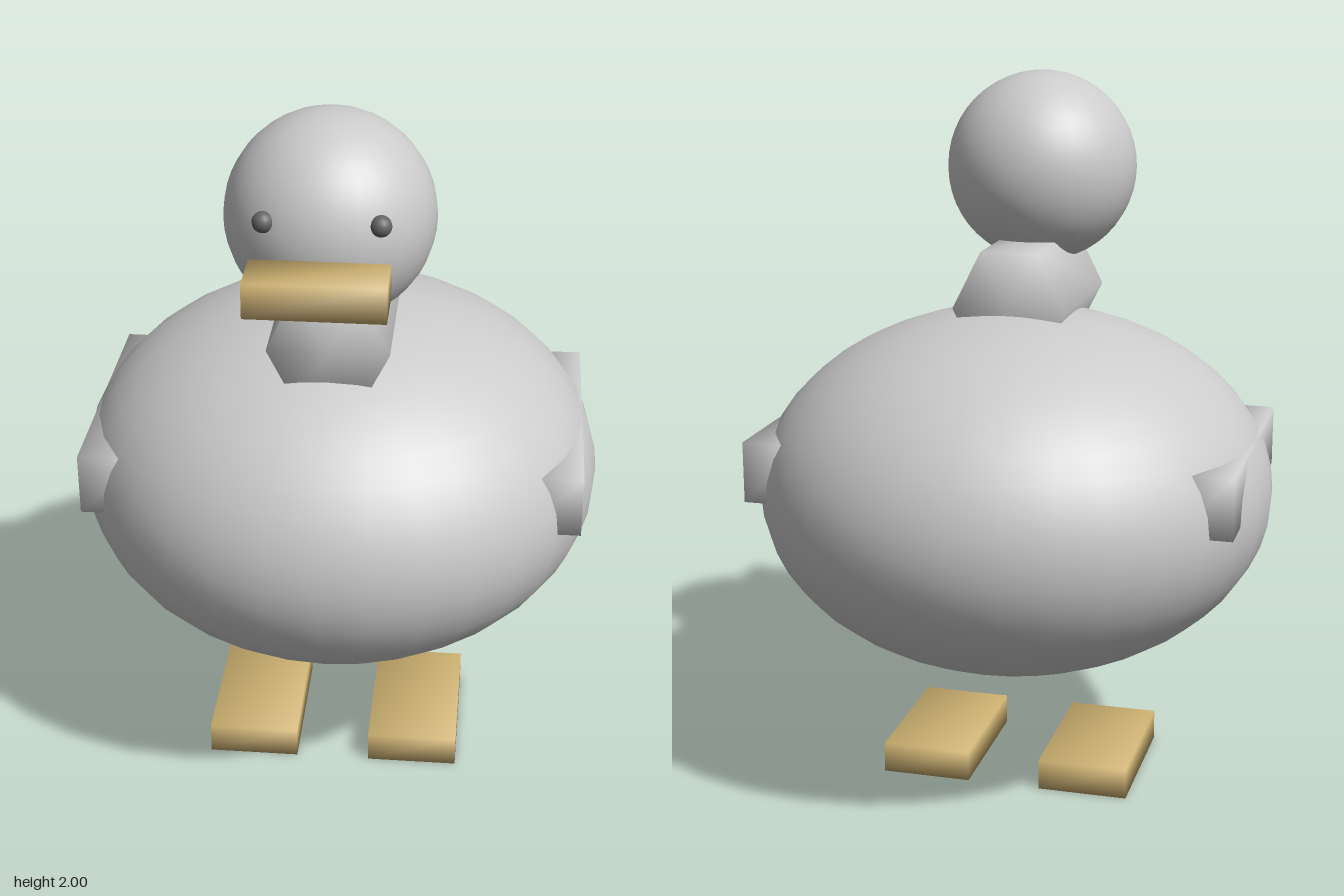
import * as THREE from 'three';
import { mergeVertices } from 'three/addons/utils/BufferGeometryUtils.js';

const grey = new THREE.MeshStandardMaterial({ color: 0xcccccc });
const gold = new THREE.MeshStandardMaterial({ color: 0xccb070 });
const dark = new THREE.MeshStandardMaterial({ color: 0x666666 });

// Weld corners so the shading runs softly over the edges
function soften(geometry) {
  geometry.deleteAttribute('normal');
  geometry.deleteAttribute('uv');
  const welded = mergeVertices(geometry);
  welded.computeVertexNormals();
  return welded;
}

function softBox(w, h, d) {
  return soften(new THREE.BoxGeometry(w, h, d));
}

export function createModel() {
  const model = new THREE.Group();

  function add(name, geometry, material, x, y, z) {
    const mesh = new THREE.Mesh(geometry, material);
    mesh.name = name;
    mesh.position.set(x, y, z);
    model.add(mesh);
    return mesh;
  }

  // Flattened round body
  const body = add('body', new THREE.SphereGeometry(0.722, 32, 24), grey, 0, 0.863, 0);
  body.scale.y = 0.703;

  // Six-sided neck lying along z
  const neck = new THREE.CylinderGeometry(0.16, 0.16, 0.465, 6, 1, false, Math.PI / 2);
  neck.rotateX(Math.PI / 2);
  neck.scale(1, 1.155, 1);
  add('neck', soften(neck), grey, 0, 1.38, 0.143);

  // Head and beak
  add('head', new THREE.SphereGeometry(0.27, 32, 24), grey, 0, 1.73, 0.285);
  add('beak', softBox(0.345, 0.09, 0.145), gold, 0, 1.673, 0.633);

  // Mirrored eyes, wings and feet
  for (const [side, s] of [['left', 1], ['right', -1]]) {
    add(side + 'Eye', new THREE.SphereGeometry(0.027, 16, 12), dark, s * 0.143, 1.793, 0.507);
    add(side + 'Wing', softBox(0.17, 0.17, 0.75), grey, s * 0.59, 0.953, 0);
    add(side + 'Foot', softBox(0.255, 0.087, 0.43), gold, s * 0.232, 0.0435, 0.06);
  }

  return model;
}
